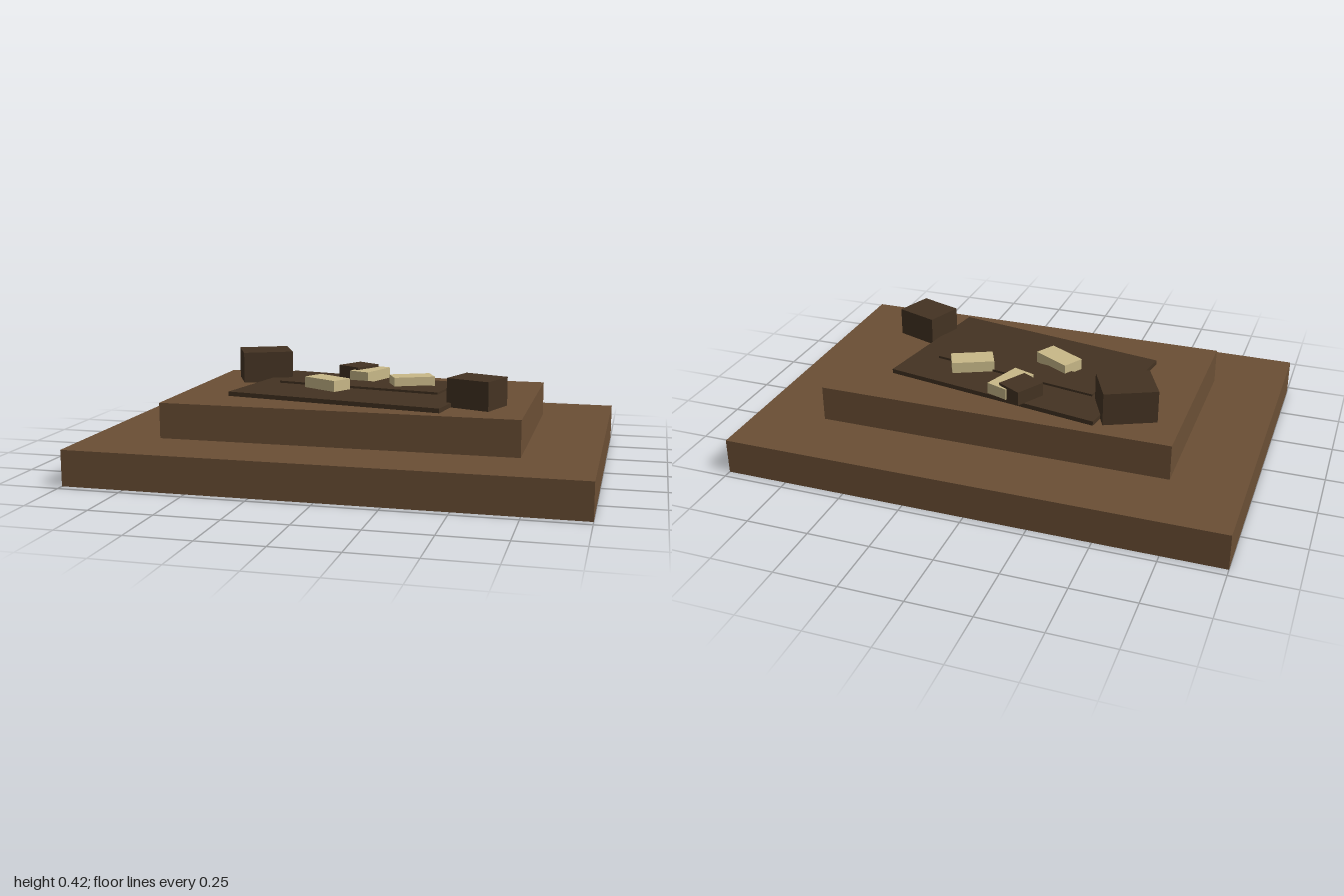
import * as THREE from 'three';

export function createModel() {
  const group = new THREE.Group();
  const material = (name, color) => {
    const m = new THREE.MeshStandardMaterial({ color });
    m.name = name;
    return m;
  };
  const earth = material('earth brown', 0x6b4f35);
  const darkWood = material('dark wood', 0x443322);
  const pale = material('pale straw', 0xc8b888);

  // Box from bottom to top height, centred at x, z and turned about y in degrees
  const box = (name, mat, w, d, bottom, top, x = 0, z = 0, turn = 0) => {
    const mesh = new THREE.Mesh(new THREE.BoxGeometry(w, top - bottom, d), mat);
    mesh.name = name;
    mesh.position.set(x, (bottom + top) / 2, z);
    mesh.rotation.y = THREE.MathUtils.degToRad(turn);
    group.add(mesh);
  };

  // Stepped platform
  box('lowerStep', earth, 2, 1.43, 0, 0.143);
  box('upperStep', earth, 1.43, 0.857, 0.143, 0.286);

  // Flat boards laid askew on the platform
  box('board', darkWood, 0.914, 0.6, 0.286, 0.304, 0, 0, -10);
  box('boardStrip', darkWood, 0.714, 0.143, 0.304, 0.313, 0, -0.049, -10);

  // Scattered dark blocks
  box('largeBlock', darkWood, 0.212, 0.182, 0.286, 0.417, -0.489, -0.232, 25);
  box('mediumBlock', darkWood, 0.182, 0.157, 0.286, 0.4, 0.515, 0.198, -20);
  box('smallBlock', darkWood, 0.112, 0.13, 0.304, 0.36, -0.073, -0.263, -30);

  // Pale scattered pieces: x, z, turn
  [[-0.132, 0.04, -30], [0.198, -0.093, 25], [-0.014, -0.222, 70]].forEach(([x, z, turn], i) =>
    box(`palePiece${i + 1}`, pale, 0.172, 0.093, 0.304, 0.349, x, z, turn));

  return group;
}
